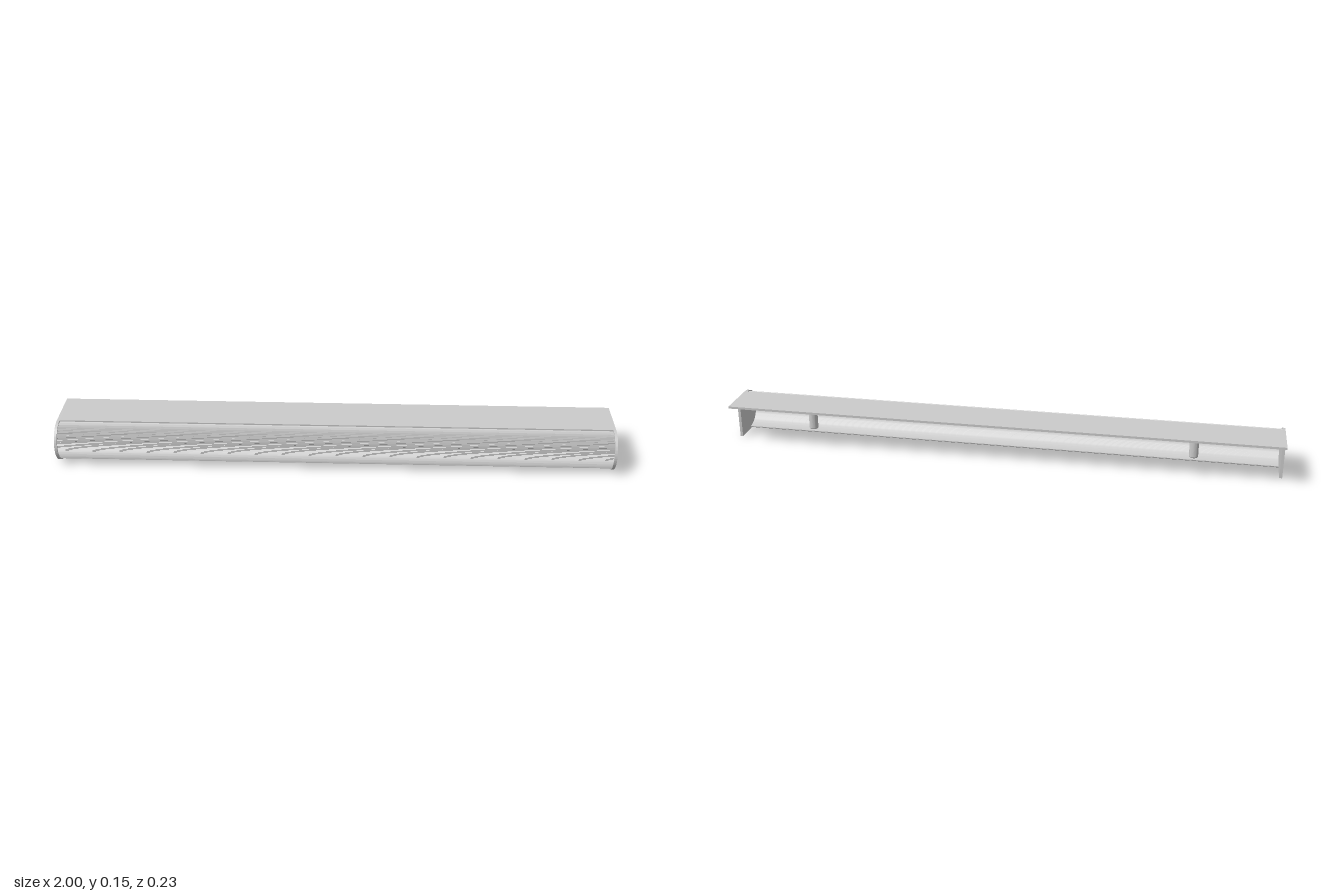
import * as THREE from 'three';
import { toCreasedNormals } from 'three/addons/utils/BufferGeometryUtils.js';

const R = 0.076;      // end cap radius
const CZ = 0.041;     // z of the curve centre
const BACK = -0.037;  // back edge of the end caps
const CAP = 0.01;     // end cap thickness
const PLATE = 0.008;  // top plate thickness

const mat = new THREE.MeshStandardMaterial({ color: 0xcccccc });

function add(group, name, geometry) {
  const mesh = new THREE.Mesh(geometry, mat);
  mesh.name = name;
  group.add(mesh);
  return mesh;
}

// Extrudes a side profile, drawn as (-z, y), along x from x0 to x1
function extrudeX(shape, x0, x1) {
  const g = new THREE.ExtrudeGeometry(shape, { depth: x1 - x0, bevelEnabled: false, curveSegments: 48 });
  g.rotateY(Math.PI / 2);
  g.translate(x0, 0, 0);
  return toCreasedNormals(g, 0.3);
}

// Point on the half circle: t = 0 at the top, 1 at the bottom
function arcPoint(r, t) {
  const a = t * Math.PI;
  return new THREE.Vector2(-(CZ + r * Math.sin(a)), R + r * Math.cos(a));
}

// Rounded front cover with fine lengthwise ribs outside and a smooth inside
function coverShape() {
  const pts = [], ribs = 48, inner = 48;
  for (let i = 0; i <= ribs * 2; i++) pts.push(arcPoint(i % 2 ? 0.0725 : 0.07, i / (ribs * 2)));
  for (let i = inner; i >= 0; i--) pts.push(arcPoint(0.067, i / inner));
  return new THREE.Shape(pts);
}

// D-shaped end cap
function capShape() {
  const s = new THREE.Shape();
  s.moveTo(-BACK, 0);
  s.lineTo(-BACK, 2 * R);
  s.lineTo(-CZ, 2 * R);
  s.absarc(-CZ, R, R, Math.PI / 2, Math.PI * 1.5, false);
  s.closePath();
  return s;
}

export function createModel() {
  const group = new THREE.Group();
  group.name = 'handleRail';

  add(group, 'ribbedCover', extrudeX(coverShape(), -1 + CAP, 1 - CAP));

  // Flat top plate overhanging the back
  const depth = CZ + 0.116;
  add(group, 'topPlate', new THREE.BoxGeometry(2, PLATE, depth))
    .position.set(0, 2 * R - PLATE / 2, CZ - depth / 2);

  add(group, 'leftEndCap', extrudeX(capShape(), 1 - CAP, 1));
  add(group, 'rightEndCap', extrudeX(capShape(), -1, -1 + CAP));

  // Mounting pins with a small chamfer at the foot
  const profile = [[0, 0.075], [0.014, 0.075], [0.016, 0.078], [0.016, 0.146]]
    .map(([r, y]) => new THREE.Vector2(r, y));
  for (const side of [1, -1]) {
    const pin = toCreasedNormals(new THREE.LatheGeometry(profile, 32), 0.5);
    add(group, side > 0 ? 'leftPin' : 'rightPin', pin).position.set(side * 0.69, 0, -0.076);
  }
  return group;
}
